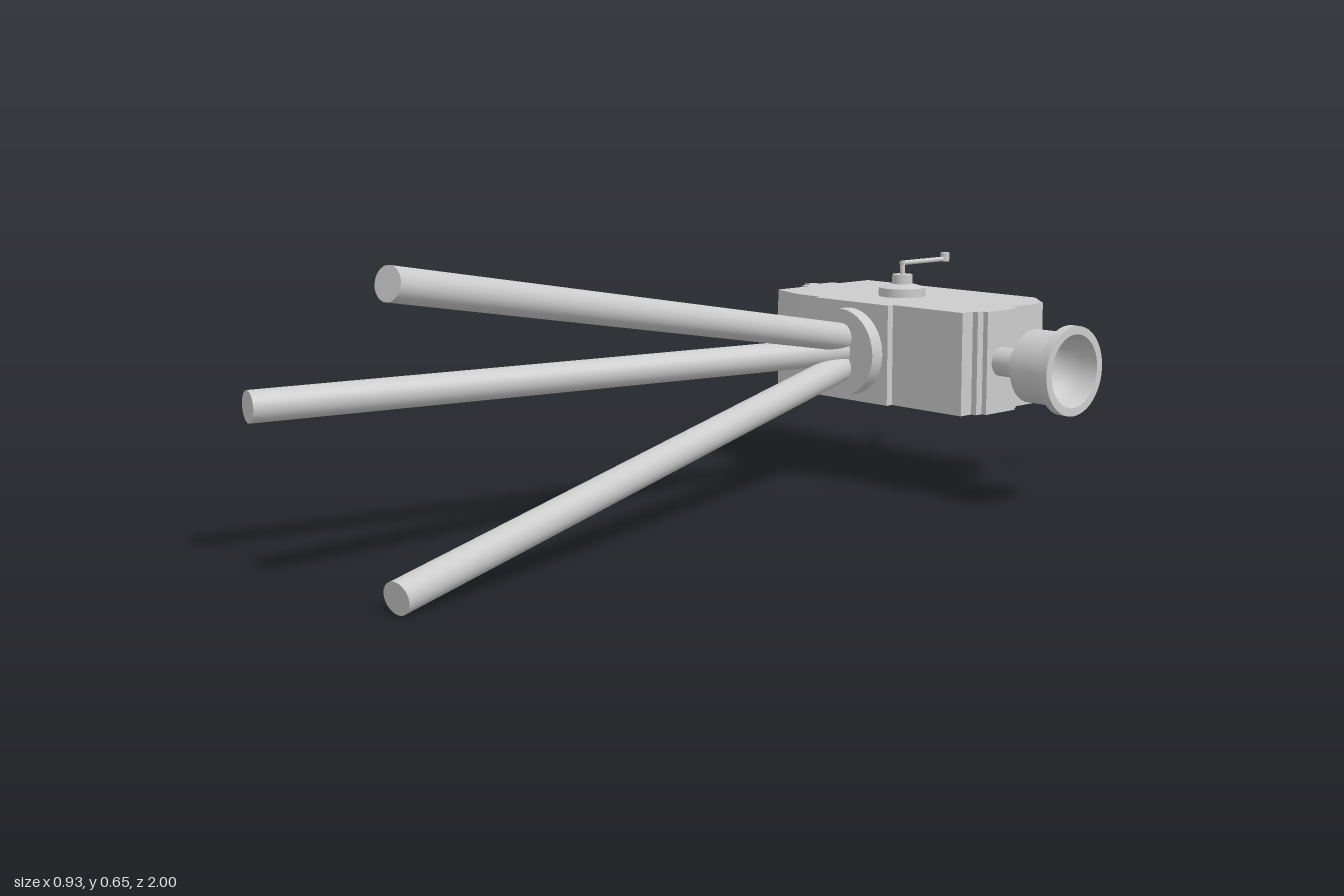
import * as THREE from 'three';

const mat = new THREE.MeshStandardMaterial({ color: 0xcccccc, side: THREE.DoubleSide });
const V = (x, y, z) => new THREE.Vector3(x, y, z);

export function createModel() {
  const root = new THREE.Group();

  const add = (name, geo, parent = root) => {
    const m = new THREE.Mesh(geo, mat);
    m.name = name;
    parent.add(m);
    return m;
  };
  // cylinder between two points
  const rod = (name, a, b, r, parent = root, r2 = r, seg = 24) => {
    const m = add(name, new THREE.CylinderGeometry(r2, r, a.distanceTo(b), seg), parent);
    m.position.copy(a).add(b).multiplyScalar(0.5);
    m.quaternion.setFromUnitVectors(V(0, 1, 0), b.clone().sub(a).normalize());
    return m;
  };
  // box given by its x, y and z limits
  const block = (name, x0, x1, y0, y1, z0, z1) => {
    const m = add(name, new THREE.BoxGeometry(x1 - x0, y1 - y0, z1 - z0));
    m.position.set((x0 + x1) / 2, (y0 + y1) / 2, (z0 + z1) / 2);
    return m;
  };

  const CX = -0.111, CY = 0.327, Y0 = 0.206, Y1 = 0.447;

  // Body: plan outline (x, z) with stepped side panels, raised in y
  const plan = [
    [-0.417, -0.875], [0.143, -0.875], [0.225, -0.8], [0.225, -0.685],
    [0.24, -0.685], [0.24, -0.665], [0.253, -0.665], [0.253, -0.56],
    [0.24, -0.56], [0.24, -0.54], [0.225, -0.54], [0.225, -0.503],
    [0.01, -0.503], [0.01, -0.485], [-0.233, -0.485], [-0.233, -0.503],
    [-0.31, -0.503], [-0.417, -0.54], [-0.417, -0.65], [-0.443, -0.65],
    [-0.443, -0.685], [-0.467, -0.685], [-0.467, -0.72], [-0.443, -0.72],
    [-0.443, -0.765], [-0.417, -0.765],
  ];
  const shape = new THREE.Shape(plan.map(([x, z]) => new THREE.Vector2(x, -z)));
  const bodyGeo = new THREE.ExtrudeGeometry(shape, { depth: Y1 - Y0, bevelEnabled: false });
  bodyGeo.rotateX(-Math.PI / 2);
  add('body', bodyGeo).position.y = Y0;

  // Tripod: mounting disc and three splayed legs
  const tripod = new THREE.Group();
  tripod.name = 'tripod';
  root.add(tripod);
  rod('tripodMount', V(CX, CY, -0.49), V(CX, CY, -0.45), 0.105, tripod, 0.105, 48);
  const legs = [
    [V(CX, 0.362, -0.46), V(0.14, 0.618, 0.988)],
    [V(CX, 0.292, -0.46), V(0.14, 0.036, 0.988)],
    [V(CX, 0.33, -0.46), V(-0.373, 0.33, 0.993)],
  ];
  for (const [a, b] of legs) rod('tripodLeg', a, b, 0.034, tripod);

  // Eyepiece: stem, collar, hollow cup and rim, turned about the x axis
  const profile = [
    [0, 0.24], [0.034, 0.24], [0.034, 0.32], [0.055, 0.32], [0.055, 0.347],
    [0.085, 0.347], [0.085, 0.443], [0.103, 0.443], [0.103, 0.465],
    [0.084, 0.465], [0.077, 0.43], [0.064, 0.395], [0.04, 0.372], [0, 0.365],
  ];
  // double points keep the turned edges sharp
  const pts = profile.flatMap(([r, x], i) =>
    (i > 0 && i < 10 ? [0, 1] : [0]).map(() => new THREE.Vector2(r, x)));
  const eyeGeo = new THREE.LatheGeometry(pts, 40);
  eyeGeo.rotateZ(-Math.PI / 2);
  add('eyepiece', eyeGeo).position.set(0, CY, -0.611);

  // Crank on the top face
  const crank = new THREE.Group();
  crank.name = 'topCrank';
  root.add(crank);
  const KZ = -0.67;
  const up = (name, y0, y1, r, r2 = r, z = KZ) =>
    rod(name, V(CX, y0, z), V(CX, y1, z), r, crank, r2);
  up('crankBase', 0.44, 0.468, 0.058);
  up('crankCone', 0.468, 0.477, 0.058, 0.026);
  up('crankHub', 0.47, 0.5, 0.025);
  up('crankPost', 0.5, 0.533, 0.006);
  rod('crankArm', V(CX, 0.528, KZ + 0.005), V(CX, 0.528, -0.83), 0.006, crank);
  up('crankKnob', 0.522, 0.544, 0.011, 0.011, -0.83);

  // Underside: thin plate with rows of buttons
  block('bottomPlate', -0.233, 0.115, 0.195, 0.208, -0.75, -0.635);
  for (const x of [-0.185, -0.155])
    for (const z of [-0.66, -0.693, -0.726])
      rod('button', V(x, 0.183, z), V(x, 0.197, z), 0.012);

  // Two swing levers below, reaching out past the back
  for (const s of [-1, 1]) {
    const lever = new THREE.Group();
    lever.name = s < 0 ? 'rightLever' : 'leftLever';
    root.add(lever);
    const x = -0.09 + s * 0.243, z = -0.976, px = -0.09 + s * 0.065, pz = -0.825;
    rod('leverPivot', V(px, 0.184, pz), V(px, 0.21, pz), 0.018, lever);
    rod('leverArm', V(px, 0.191, pz), V(x, 0.191, z), 0.008, lever);
    rod('leverHead', V(x, 0.181, z), V(x, 0.199, z), 0.021, lever);
    rod('leverPin', V(x, 0.16, z), V(x, 0.183, z), 0.007, lever);
  }
  return root;
}
